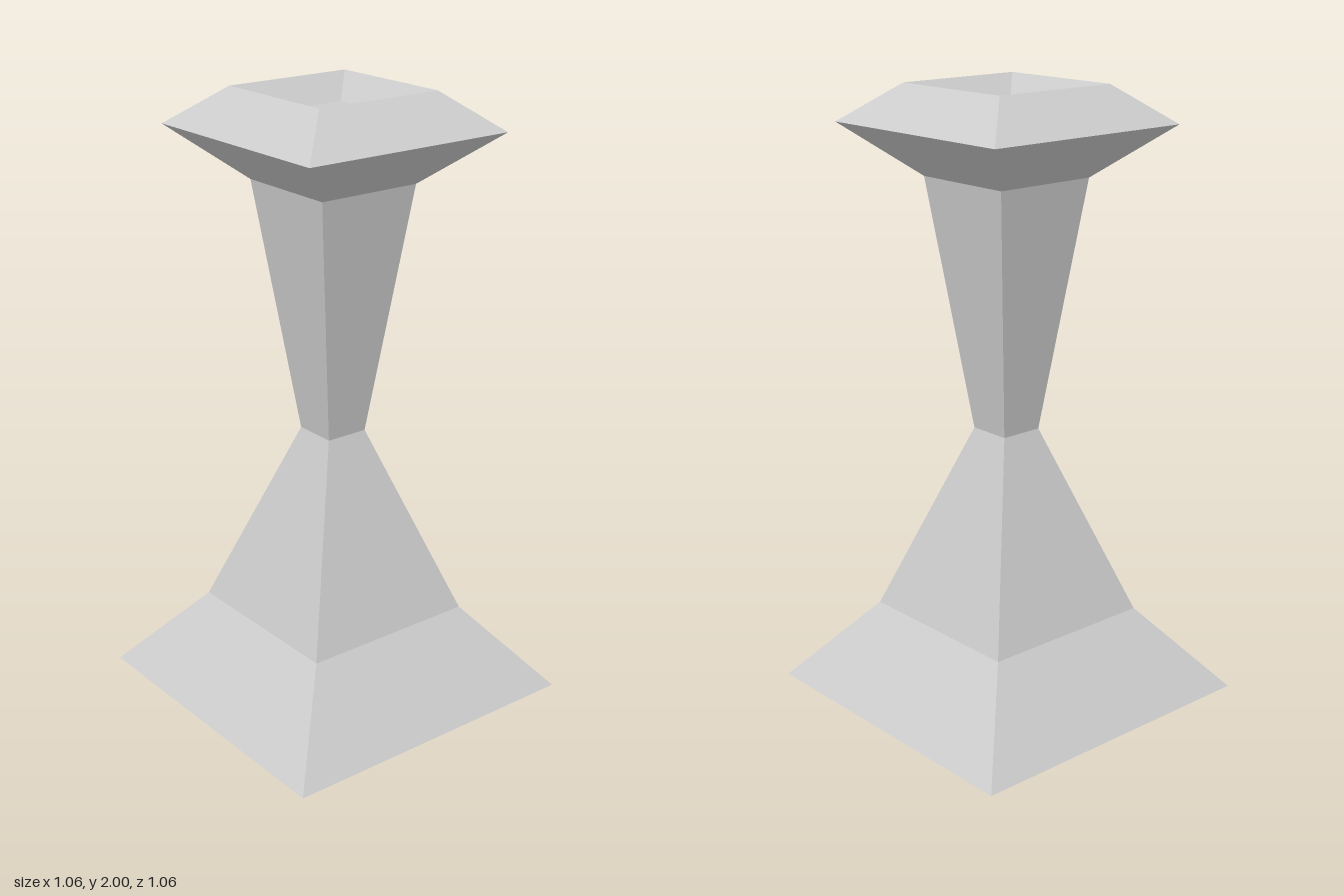
import * as THREE from 'three';

const stone = new THREE.MeshStandardMaterial({
  name: 'stoneGrey', color: 0xcccccc, flatShading: true, side: THREE.DoubleSide,
});

// Square shell from a profile of [half width, height], running bottom to top on the outside
function squareShell(name, profile) {
  const points = profile.map(([half, y]) => new THREE.Vector2(half * Math.SQRT2, y));
  const geometry = new THREE.LatheGeometry(points, 4, Math.PI / 4).toNonIndexed();
  geometry.computeVertexNormals();
  const mesh = new THREE.Mesh(geometry, stone);
  mesh.name = name;
  return mesh;
}

export function createModel() {
  const group = new THREE.Group();
  group.name = 'pedestal';
  group.add(
    // Hollow foot, open underneath
    squareShell('foot', [[0.528, 0], [0.3, 0.277], [0.073, 0.9]]),
    // Column widening upward
    squareShell('column', [[0.073, 0.9], [0.18, 1.715]]),
    // Flared capital with a sharp rim
    squareShell('capital', [[0.18, 1.715], [0.372, 1.88], [0.222, 2]]),
    // Sunken dish with a flat floor
    squareShell('dish', [[0.222, 2], [0.147, 1.92], [0, 1.92]]),
  );
  return group;
}
